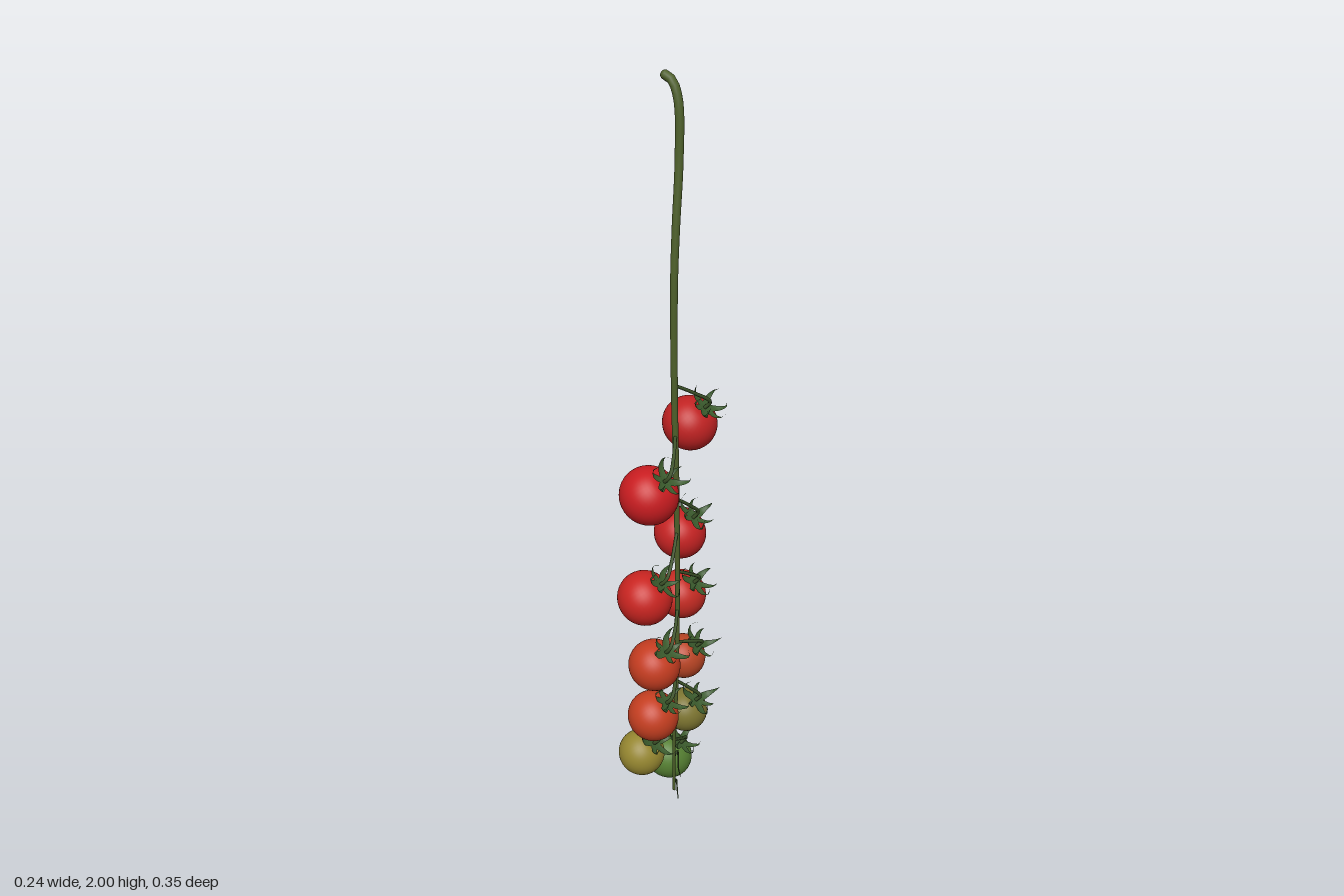
import * as THREE from 'three';

const V = (x, y, z) => new THREE.Vector3(x, y, z);
const mat = (color, side = THREE.FrontSide) => new THREE.MeshStandardMaterial({ color, side });
const stemMat = mat(0x4d5f2a);
const twigMat = mat(0x3c5228);
const leafMat = mat(0x3a5a2c, THREE.DoubleSide);

function named(name, geometry, material) {
  const mesh = new THREE.Mesh(geometry, material);
  mesh.name = name;
  return mesh;
}

// Tube whose radius runs linearly from r0 to r1
function taperedTube(points, r0, r1, segs, sides) {
  const curve = new THREE.CatmullRomCurve3(points);
  const geo = new THREE.TubeGeometry(curve, segs, 1, sides);
  const pos = geo.attributes.position, v = V(0, 0, 0);
  for (let i = 0; i < pos.count; i++) {
    const t = Math.floor(i / (sides + 1)) / segs;
    const c = curve.getPointAt(t);
    v.fromBufferAttribute(pos, i).sub(c).multiplyScalar(r0 + (r1 - r0) * t).add(c);
    pos.setXYZ(i, v.x, v.y, v.z);
  }
  geo.computeBoundingSphere();
  return geo;
}

// Slightly flattened ball with a dimple around the stalk
function fruitGeometry() {
  const profile = [];
  for (let i = 0; i <= 24; i++) {
    const a = -Math.PI / 2 + Math.PI * i / 24;
    const r = i === 0 || i === 24 ? 0 : Math.cos(a);
    const dimple = 0.1 * Math.exp(-((r / 0.25) ** 2)) * (a > 0 ? 1 : 0.2);
    profile.push(new THREE.Vector2(r * 1.02, Math.sin(a) * (0.97 - dimple)));
  }
  return new THREE.LatheGeometry(profile, 36);
}

// Narrow pointed leaf that lies on the fruit, then curls upward
function sepalGeometry(curl) {
  const path = new THREE.CatmullRomCurve3([
    V(0, 0.002, 0), V(0.02, 0.003, 0), V(0.039, 0.009, 0),
    V(0.05, 0.026, 0.003), V(0.05 - 0.012 * curl, 0.048, 0.006),
  ]);
  const n = 10;
  const geo = new THREE.PlaneGeometry(1, 1, 2, n);
  const pos = geo.attributes.position;
  for (let i = 0; i < pos.count; i++) {
    const t = Math.floor(i / 3) / n, side = (i % 3) - 1;
    const p = path.getPoint(t);
    const w = 0.0095 * Math.pow(1 - t, 0.7) * (0.5 + 0.8 * Math.sin(Math.PI * Math.min(1, t + 0.15)));
    pos.setXYZ(i, p.x, p.y + Math.abs(side) * w * 0.25, p.z + side * w);
  }
  geo.computeVertexNormals();
  return geo;
}

export function createModel() {
  const model = new THREE.Group();
  model.name = 'tomatoVine';

  // Main stem with hooked top
  const stemPoints = [
    V(-0.032, 1.988, -0.036), V(-0.012, 1.978, -0.034), V(0.006, 1.935, -0.03),
    V(0.014, 1.8, -0.02), V(0.018, 1.65, 0), V(0.02, 1.52, 0.011), V(0.022, 1.25, 0.012),
    V(0.028, 0.95, 0.01), V(0.03, 0.65, 0.008), V(0.025, 0.4, 0.004),
    V(0.014, 0.22, -0.004), V(0.002, 0.045, -0.025),
  ];
  model.add(named('mainStem', taperedTube(stemPoints, 0.0115, 0.004, 110, 10), stemMat));
  const tip = named('stemEnd', new THREE.SphereGeometry(0.0115, 10, 8), stemMat);
  tip.position.copy(stemPoints[0]);
  model.add(tip);

  const stemAt = (y) => {
    const i = stemPoints.findIndex((p) => p.y <= y);
    const a = stemPoints[i - 1], b = stemPoints[i];
    return a.clone().lerp(b, (a.y - y) / (a.y - b.y));
  };

  // Fruits: x, y, z, radius, height of stalk on stem, colour
  const fruits = [
    [0.01, 1.12, -0.083, 0.068, 1.26, 0xc02222],
    [-0.005, 0.99, 0.086, 0.073, 1.13, 0xc81c20],
    [-0.012, 0.81, -0.075, 0.066, 0.955, 0xc42222],
    [-0.012, 0.705, 0.097, 0.069, 0.865, 0xc82420],
    [-0.01, 0.628, -0.08, 0.063, 0.75, 0xc42a22],
    [0.002, 0.5, 0.075, 0.066, 0.64, 0xc43c20],
    [0, 0.445, -0.074, 0.058, 0.54, 0xb84424],
    [0.018, 0.37, 0.108, 0.065, 0.5, 0xc43e20],
    [0.012, 0.285, -0.066, 0.057, 0.42, 0x7c7430],
    [-0.04, 0.213, 0.072, 0.06, 0.325, 0x958630],
    [-0.064, 0.086, -0.107, 0.063, 0.225, 0x557f32],
  ];
  const fruitGeo = fruitGeometry();
  const sepalGeos = [0, 0.6, 1.2].map(sepalGeometry);

  fruits.forEach(([x, y, z, r, stalkY, color], k) => {
    const axis = V(0.62 + 0.08 * Math.sin(k * 2.3), 0.76, 0.08 * Math.sin(k * 1.7)).normalize();
    const unit = new THREE.Group();
    unit.name = 'tomato' + (k + 1);
    unit.position.set(x, y, z);
    unit.quaternion.setFromUnitVectors(V(0, 1, 0), axis);

    const body = named('fruit', fruitGeo, mat(color));
    body.scale.setScalar(r);
    unit.add(body);

    // Crown of curled sepals
    const crown = new THREE.Group();
    crown.name = 'calyx';
    crown.position.y = r * 0.93;
    for (let i = 0; i < 6; i++) {
      const sepal = named('sepal', sepalGeos[(i * 2 + k) % 3], leafMat);
      sepal.rotation.y = i * Math.PI / 3 + k * 0.7 + 0.15 * Math.sin(i * 5 + k);
      sepal.scale.setScalar(0.95 + 0.12 * Math.sin(i * 3 + k));
      crown.add(sepal);
    }
    unit.add(crown);
    model.add(unit);

    // Stalk from main stem into the crown
    const center = V(x, y, z);
    const start = stemAt(stalkY);
    const end = center.clone().addScaledVector(axis, r * 0.9);
    const near = center.clone().addScaledVector(axis, r + 0.022);
    const mid = start.clone().lerp(near, 0.55).add(V(0.004, 0.003, 0));
    model.add(named('stalk', taperedTube([start, mid, near, end], 0.0042, 0.005, 18, 7), twigMat));
  });

  // Dry curled tendrils at the lower end
  const tendrils = [
    [V(0.009, 0.16, -0.01), V(0.008, 0.17, -0.03), V(0.002, 0.15, -0.045), V(0.006, 0.11, -0.04), V(0.004, 0.07, -0.055)],
    [V(0.003, 0.06, -0.023), V(-0.002, 0.065, -0.038), V(-0.006, 0.055, -0.052), V(-0.002, 0.03, -0.048), V(0.003, 0.002, -0.045)],
  ];
  for (const points of tendrils) {
    model.add(named('tendril', taperedTube(points, 0.003, 0.0012, 20, 6), twigMat));
  }
  return model;
}
